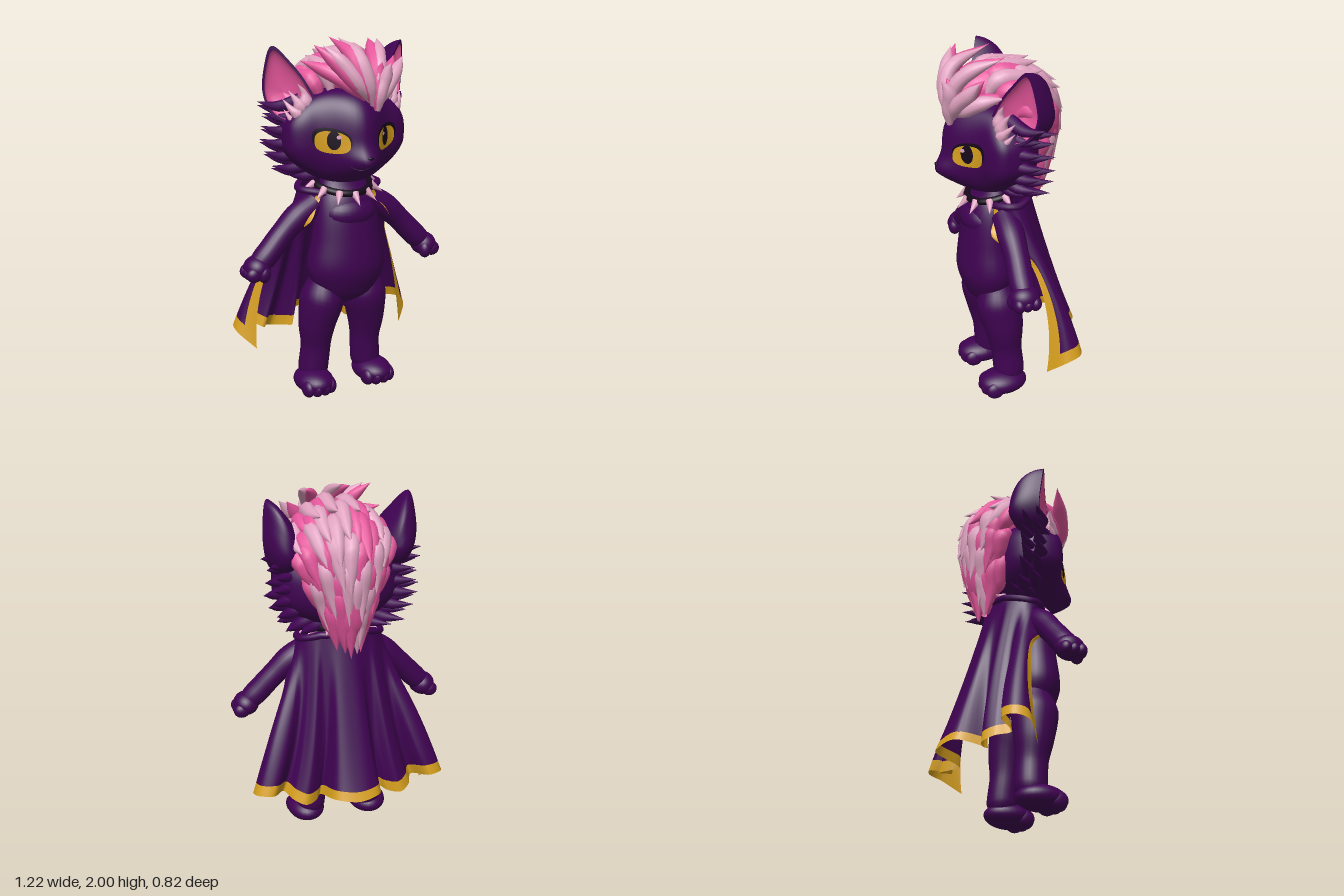
import * as THREE from 'three';
import { mergeVertices } from 'three/addons/utils/BufferGeometryUtils.js';
import { ParametricGeometry } from 'three/addons/geometries/ParametricGeometry.js';

const V = (x, y, z) => new THREE.Vector3(x, y, z);
const vecs = list => list.map(p => V(...p));
const paint = (name, color, side = THREE.FrontSide) => {
  const m = new THREE.MeshStandardMaterial({ color, side });
  m.name = name;
  return m;
};

// Smooth normals across seams
function weld(geo) {
  geo.deleteAttribute('uv');
  geo.deleteAttribute('normal');
  const out = mergeVertices(geo);
  out.computeVertexNormals();
  return out;
}

// Tapered tube through points, one radius per point, with an optional squash per axis
function limb(points, radii, squash = [1, 1, 1], seg = 14, radial = 10) {
  const curve = new THREE.CatmullRomCurve3(vecs(points));
  const rCurve = new THREE.CatmullRomCurve3(radii.map(r => V(r, 0, 0)));
  const geo = new THREE.TubeGeometry(curve, seg, 1, radial);
  const pos = geo.attributes.position, p = V(0, 0, 0), s = V(...squash);
  for (let i = 0; i < pos.count; i++) {
    const u = Math.floor(i / (radial + 1)) / seg;
    const c = curve.getPointAt(u);
    const r = Math.max(0.0005, rCurve.getPoint(curve.getUtoTmapping(u)).x);
    p.fromBufferAttribute(pos, i).sub(c).multiplyScalar(r).multiply(s).add(c);
    pos.setXYZ(i, p.x, p.y, p.z);
  }
  return weld(geo);
}

const ball = (x, y, z, rx, ry, rz) => new THREE.SphereGeometry(1, 28, 18).scale(rx, ry, rz).translate(x, y, z);

// Reflected copy across x = 0 with corner order corrected
function mirror(geo) {
  const g = geo.clone();
  g.scale(-1, 1, 1);
  const ix = g.index.array;
  for (let i = 0; i < ix.length; i += 3) [ix[i], ix[i + 1]] = [ix[i + 1], ix[i]];
  g.computeVertexNormals();
  return g;
}

// Head surface: a squarish ellipsoid, wedge-shaped in plan, with a muzzle bulge
const E = 2.4, HY = 1.48, HZ = 0.11;
const headWidth = y => 0.36 - 0.07 * THREE.MathUtils.smoothstep(HY - y, 0.05, 0.27) - 0.04 * THREE.MathUtils.smoothstep(y - HY, 0.05, 0.27);
function shapeZ(x, y, z) {
  if (z <= 0) return HZ + z;
  const f = z / 0.25;
  const wedge = 0.12 * f * THREE.MathUtils.smoothstep(Math.abs(x), 0, 0.24);
  const muzzle = 0.07 * f * Math.exp(-((x / 0.1) ** 2) - ((y - 1.35) / 0.07) ** 2);
  return HZ + z - wedge + muzzle;
}
function faceZ(x, y) {
  const k = 1 - Math.abs(x / headWidth(y)) ** E - Math.abs((y - HY) / 0.26) ** E;
  return shapeZ(x, y, 0.25 * Math.max(0, k) ** (1 / E));
}
function headGeometry() {
  const geo = new THREE.SphereGeometry(1, 72, 54), pos = geo.attributes.position;
  for (let i = 0; i < pos.count; i++) {
    const n = [pos.getX(i), pos.getY(i), pos.getZ(i)];
    const k = n.reduce((a, c) => a + Math.abs(c) ** E, 0) ** (-1 / E);
    const y = HY + 0.26 * n[1] * k, x = headWidth(y) * n[0] * k;
    pos.setXYZ(i, x, y, shapeZ(x, y, 0.25 * n[2] * k));
  }
  return weld(geo);
}
// Thin rounded patch that follows the face; power below 1 squares it off
function facePatch(cx, cy, rx, ry, slope, lift, power = 1) {
  const geo = new THREE.RingGeometry(0.001, 1, 36, 8), pos = geo.attributes.position;
  for (let i = 0; i < pos.count; i++) {
    const px = pos.getX(i), py = pos.getY(i), r = Math.hypot(px, py);
    const square = c => r * Math.sign(c) * Math.abs(c / r) ** power;
    const dx = square(px) * rx, x = cx + dx, y = cy + square(py) * ry + dx * slope;
    pos.setXYZ(i, x, y, faceZ(x, y) + lift);
  }
  geo.computeVertexNormals();
  return geo;
}

export function createModel() {
  const purple = paint('purple fur', 0x3f0251);
  const cloth = paint('purple cloth', 0x3f0251, THREE.DoubleSide);
  const gold = paint('gold', 0xd69f1e, THREE.DoubleSide);
  const pale = paint('pale pink', 0xe2a4c2);
  const pink = paint('pink', 0xe8589e, THREE.DoubleSide);
  const black = paint('black', 0x16081a);
  const model = new THREE.Group();
  const add = (name, geo, mat, parent = model) => {
    const m = new THREE.Mesh(geo, mat);
    m.name = name;
    parent.add(m);
    return m;
  };
  const pair = (name, geo, mat) => {
    add('left ' + name, geo, mat);
    add('right ' + name, mirror(geo), mat);
  };

  // Torso and chest
  add('torso', limb([[0, 0.52, 0.1], [0, 0.6, 0.11], [0, 0.75, 0.12], [0, 0.9, 0.125], [0, 1.05, 0.115], [0, 1.15, 0.085], [0, 1.27, 0.08]],
    [0.03, 0.17, 0.23, 0.205, 0.185, 0.165, 0.11], [1, 1, 0.7], 36, 32), purple);
  add('chest fur', ball(0, 1.05, 0.15, 0.16, 0.1, 0.115), purple);

  // Legs and feet
  pair('leg', limb([[0.12, 0.68, 0.1], [0.135, 0.55, 0.09], [0.157, 0.4, 0.07], [0.16, 0.25, 0.055], [0.17, 0.13, 0.045], [0.175, 0.05, 0.045]],
    [0.08, 0.124, 0.106, 0.084, 0.085, 0.05], [1, 1, 1.05], 28, 24), purple);
  pair('foot', ball(0.19, 0.068, 0.09, 0.108, 0.07, 0.142), purple);
  for (const dx of [-0.068, -0.024, 0.024, 0.068])
    pair('toe', ball(0.19 + dx, 0.05, 0.185 - Math.abs(dx) * 0.4, 0.034, 0.05, 0.055), purple);

  // Arms and paws
  pair('arm', limb([[0.17, 1.1, 0.07], [0.27, 1.04, 0.072], [0.37, 0.95, 0.075], [0.47, 0.845, 0.085], [0.56, 0.765, 0.09]],
    [0.07, 0.073, 0.065, 0.066, 0.045], [1, 1, 1.05], 24, 20), purple);
  pair('paw', ball(0.53, 0.785, 0.09, 0.072, 0.067, 0.083), purple);
  for (const dz of [-0.045, 0, 0.045]) pair('finger', ball(0.563, 0.76, 0.09 + dz, 0.046, 0.042, 0.035), purple);
  pair('thumb', ball(0.51, 0.76, 0.143, 0.036, 0.048, 0.038), purple);

  // Head and face
  add('head', headGeometry(), purple);
  pair('eye rim', facePatch(0.166, 1.483, 0.09, 0.062, 0.14, 0.004, 0.85), black);
  pair('iris', facePatch(0.164, 1.469, 0.08, 0.059, 0.1, 0.007, 0.8), gold);
  pair('pupil', facePatch(0.155, 1.48, 0.03, 0.051, 0, 0.01), black);
  pair('eye glint', facePatch(0.135, 1.498, 0.01, 0.011, 0, 0.013), pale);
  add('nose', ball(0, 1.39, faceZ(0, 1.39), 0.016, 0.009, 0.008), black);
  pair('mouth', new THREE.TubeGeometry(new THREE.CatmullRomCurve3(
    [[0, 1.345], [0.03, 1.328], [0.065, 1.33], [0.085, 1.345]].map(([x, y]) => V(x, y, faceZ(x, y)))), 12, 0.0015, 5), black);

  // Cheek fur, swept outward and back
  const cheeks = [[0.45, 1.655], [0.42, 1.59], [0.43, 1.52], [0.44, 1.45], [0.415, 1.38], [0.37, 1.31], [0.29, 1.26]];
  cheeks.forEach(([x, y], i) => {
    for (const [z, inset, drop] of [[-0.05, 0, 0], [-0.125, 0.03, 0.03]]) {
      const tx = x - inset, ty = y - drop * (i < 6 ? 1 : 0);
      pair('cheek tuft', limb([[tx - 0.2, ty + 0.02, z * 0.5 + 0.09], [tx - 0.09, ty - 0.012, z * 0.7 + 0.06], [tx, ty + (i < 5 ? 0.01 : -0.005), z]],
        [0.05, 0.04, 0], [1, 0.75, 1], 8, 8), purple);
    }
  });

  // Ears: domed shell behind an open, tilted rim
  const rim = new THREE.CatmullRomCurve3(vecs([[0.395, 1.965, 0.03], [0.31, 1.88, 0.08], [0.24, 1.77, 0.13], [0.2, 1.65, 0.16],
    [0.29, 1.56, 0.15], [0.385, 1.59, 0.03], [0.425, 1.7, -0.02], [0.425, 1.85, -0.005]]), true);
  const mid = V(0.34, 1.72, 0.06), back = V(-0.07, -0.03, -0.19);
  const dome = (size, depth) => new ParametricGeometry((u, v, out) => {
    const a = v * Math.PI / 2;
    out.copy(rim.getPoint(u % 1)).sub(mid).multiplyScalar(size * Math.sin(a) ** 0.95).add(mid).addScaledVector(back, depth * Math.cos(a) ** 0.9);
  }, 40, 16);
  const edge = new ParametricGeometry((u, v, out) =>
    out.copy(rim.getPoint(u % 1)).sub(mid).multiplyScalar(0.9 + 0.1 * v).add(mid), 40, 2);
  pair('ear shell', dome(1, 1), cloth);
  pair('ear rim', edge, cloth);
  pair('inner ear', dome(0.9, 0.3), pink);
  for (const [x, y, z] of [[0.29, 1.77, 0.12], [0.335, 1.735, 0.1], [0.36, 1.69, 0.08], [0.355, 1.635, 0.08]])
    pair('ear tuft', limb([[0.25, 1.59, 0.13], [x - 0.04, y - 0.06, 0.125], [x, y, z]], [0.02, 0.02, 0], [1, 1, 1], 8, 8), pale);

  // Hair: pink core, then pale locks with pink locks showing beside and beneath them
  let seed = 7;
  const rnd = () => (seed = (seed * 16807) % 2147483647) / 2147483647;
  add('hair core', limb([[0.06, 1.68, 0.3], [0.05, 1.79, 0.22], [0.02, 1.8, 0.05], [0, 1.72, -0.08], [0, 1.53, -0.15], [0, 1.32, -0.16], [0, 1.16, -0.15]],
    [0.02, 0.09, 0.135, 0.145, 0.125, 0.095, 0.02], [1.15, 1, 1], 26, 18), pink);
  const front = [
    [[0.04, 1.68, 0.32], [-0.05, 1.79, 0.33], [-0.12, 1.89, 0.29], [-0.2, 1.975, 0.24]],
    [[0.05, 1.66, 0.33], [0.01, 1.79, 0.345], [-0.02, 1.91, 0.3], [-0.04, 2.0, 0.1]],
    [[0.07, 1.63, 0.34], [0.08, 1.72, 0.345], [0.11, 1.81, 0.35], [0.12, 1.885, 0.395]],
    [[0.08, 1.66, 0.33], [0.14, 1.75, 0.32], [0.21, 1.82, 0.28], [0.28, 1.9, 0.24]],
    [[0.06, 1.67, 0.33], [0.09, 1.83, 0.32], [0.13, 1.92, 0.24], [0.2, 1.985, 0.1]],
    [[0.02, 1.69, 0.3], [-0.05, 1.77, 0.28], [-0.12, 1.83, 0.2], [-0.21, 1.88, 0.1]],
    [[0.09, 1.68, 0.3], [0.16, 1.73, 0.27], [0.21, 1.77, 0.21], [0.26, 1.8, 0.1]]];
  front.forEach((pts, i) => {
    add('front lock', limb(pts, [0.015, 0.04, 0.039, 0], [1, 1, 1], 14, 10), i === 5 ? pink : pale);
    add('front under lock', limb(pts.map(([x, y, z], n) => [x - 0.012 * n, y + 0.002, z - 0.012 * n]), [0.015, 0.042, 0.04, 0], [1, 1, 1], 14, 10), pink);
  });
  const spine = new THREE.CatmullRomCurve3(vecs([[0, 1.82, 0.3], [0, 1.9, 0.18], [0, 1.915, 0.03], [0, 1.85, -0.13], [0, 1.72, -0.235],
    [0, 1.54, -0.24], [0, 1.36, -0.21], [0, 1.15, -0.165]]));
  const heart = V(0, 1.55, 0);
  const onHair = (t, a, lift) => {
    t = Math.min(t, 1);
    const d = spine.getPointAt(t).sub(heart), len = d.length();
    d.multiplyScalar((len * (1 - 0.22 * a * a) + lift) / len).add(heart);
    const width = 0.2 * (0.65 + 0.35 * Math.min(1, t / 0.3)) - 0.12 * Math.max(0, t - 0.4) / 0.6;
    return [a * width + 0.03 * (1 - t), d.y, d.z];
  };
  const sweep = (t, a, swing, low, tip, r) => limb([onHair(t, a, -0.05 + low), onHair(t + 0.1, a + swing * 0.3, low),
    onHair(t + 0.21, a + swing * 0.7, 0.012 + low), onHair(t + 0.31, a + swing, tip)], [0.02, r, r * 0.8, 0], [1, 1, 1], 14, 9);
  for (let k = 0; k < 7; k++)
    for (let j = 0; j < 4; j++) {
      const a = (j - 1.5) / 1.6 + (k % 2 ? 0.17 : -0.13), t = 0.03 + k * 0.108 + rnd() * 0.06, swing = (rnd() - 0.5) * 0.6;
      const side = a < 0 ? -1 : 1, main = rnd() < 1.05 - 0.3 * Math.abs(a) - 0.07 * k ? pale : pink;
      add('hair lock', sweep(t, a, swing, 0, 0.055 + rnd() * 0.04, 0.05), main);
      add('hair under lock', sweep(t + 0.02, a + 0.24 * side, swing * 0.6, -0.012, 0.03, 0.052), pink);
    }

  // Cape: three rows from front edge to centre back, mirrored and blended downward
  const row = half => new THREE.CatmullRomCurve3(vecs([...half.map(([x, y, z]) => [-x, y, z]), ...half.slice(0, -1).reverse()]));
  const top = row([[0.13, 1.165, 0.14], [0.19, 1.175, 0.11], [0.235, 1.18, 0.06], [0.24, 1.18, 0.01], [0.22, 1.19, -0.03], [0.19, 1.2, -0.06],
    [0.16, 1.21, -0.08], [0.13, 1.22, -0.095], [0.1, 1.22, -0.105], [0.05, 1.23, -0.11], [0, 1.23, -0.115]]);
  const middle = row([[0.3, 0.93, 0], [0.33, 0.92, -0.04], [0.33, 0.91, -0.08], [0.29, 0.91, -0.1], [0.25, 0.9, -0.1], [0.22, 0.9, -0.13],
    [0.18, 0.9, -0.16], [0.14, 0.9, -0.15], [0.11, 0.9, -0.16], [0.07, 0.9, -0.2], [0, 0.9, -0.21]]);
  const hem = row([[0.47, 0.25, -0.07], [0.555, 0.34, -0.16], [0.54, 0.36, -0.24], [0.46, 0.36, -0.27], [0.38, 0.33, -0.17], [0.34, 0.31, -0.25],
    [0.28, 0.29, -0.29], [0.21, 0.29, -0.25], [0.18, 0.3, -0.21], [0.125, 0.34, -0.37], [0, 0.33, -0.41]]);
  const capePatch = (u0, u1, v0, v1, nu, nv) => new ParametricGeometry((s, r, out) => {
    const u = u0 + (u1 - u0) * s, v = v0 + (v1 - v0) * r;
    out.set(0, 0, 0)
      .addScaledVector(top.getPoint(u), (v - 0.3) * (v - 1) / 0.3)
      .addScaledVector(middle.getPoint(u), v * (1 - v) / 0.21)
      .addScaledVector(hem.getPoint(u), v * (v - 0.3) / 0.7);
    // the front edges lap over the shoulders
    out.z += 0.125 * Math.exp(-(((v - 0.19) / 0.1) ** 2) - (Math.min(u, 1 - u) / 0.055) ** 2);
  }, nu, nv);
  const b = 0.03, h = 0.92;
  add('cape', capePatch(b, 1 - b, 0, h, 110, 30), cloth);
  add('cape hem trim', capePatch(0, 1, h, 1, 110, 3), gold);
  add('cape right trim', capePatch(0, b, 0, h, 3, 30), gold);
  add('cape left trim', capePatch(1 - b, 1, 0, h, 3, 30), gold);
  add('cape neck roll', new THREE.TubeGeometry(top, 60, 0.02, 10), purple);

  // Spiked collar, lower at the front
  const collar = new THREE.Group();
  collar.name = 'collar';
  collar.position.set(0, 1.212, 0.065);
  collar.rotation.x = 0.28;
  model.add(collar);
  add('collar band', new THREE.TorusGeometry(0.16, 0.02, 10, 48).rotateX(Math.PI / 2), black, collar);
  for (let i = 0; i < 12; i++) {
    const a = i * Math.PI / 6, dir = V(Math.sin(a), -0.5, Math.cos(a)).normalize();
    const spike = add('collar spike', new THREE.ConeGeometry(0.024, 0.085, 12), pale, collar);
    spike.position.set(0.167 * Math.sin(a), 0, 0.167 * Math.cos(a)).addScaledVector(dir, 0.04);
    spike.quaternion.setFromUnitVectors(V(0, 1, 0), dir);
  }
  return model;
}
